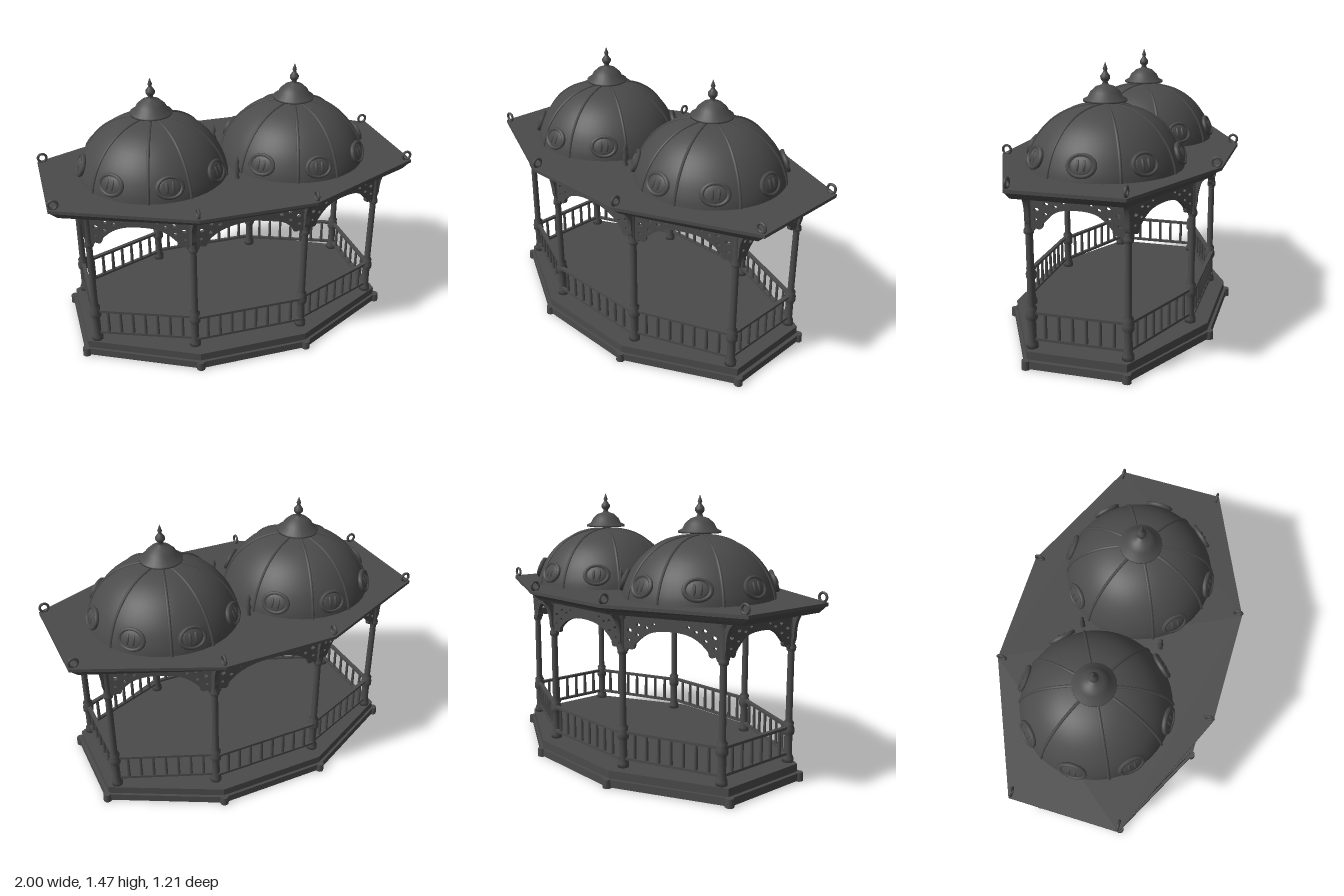
import * as THREE from 'three';

const iron = new THREE.MeshStandardMaterial({ color: 0x4b4b4b });
iron.name = 'dark iron';

const V2 = (x, y) => new THREE.Vector2(x, y);

function add(parent, name, geometry, x = 0, y = 0, z = 0) {
  const mesh = new THREE.Mesh(geometry, iron);
  mesh.name = name;
  mesh.position.set(x, y, z);
  parent.add(mesh);
  return mesh;
}

// Elongated octagon [x, z]: end corners (ax, az), side corners (bx, bz)
function octagon(ax, az, bx, bz) {
  return [[ax, az], [bx, bz], [-bx, bz], [-ax, az], [-ax, -az], [-bx, -bz], [bx, -bz], [ax, -az]];
}

// Flat slab from an outline
function slab(outline, height) {
  const shape = new THREE.Shape(outline.map(([x, z]) => V2(x, -z)));
  return new THREE.ExtrudeGeometry(shape, { depth: height, bevelEnabled: false }).rotateX(-Math.PI / 2);
}

// Faceted skin through a list of [outline, y] rings
function loft(rings) {
  const pos = [];
  for (let i = 0; i < rings.length - 1; i++) {
    const [lo, y0] = rings[i], [hi, y1] = rings[i + 1];
    for (let j = 0; j < lo.length; j++) {
      const k = (j + 1) % lo.length;
      const a = [lo[j][0], y0, lo[j][1]], b = [lo[k][0], y0, lo[k][1]];
      const c = [hi[k][0], y1, hi[k][1]], d = [hi[j][0], y1, hi[j][1]];
      pos.push(...a, ...d, ...b, ...b, ...d, ...c);
    }
  }
  const g = new THREE.BufferGeometry();
  g.setAttribute('position', new THREE.Float32BufferAttribute(pos, 3));
  g.computeVertexNormals();
  return g;
}

// Pierced arch panel hung between two columns
function archPanel(length) {
  const h = length / 2;
  const s = new THREE.Shape();
  s.moveTo(-h, 0.91);
  s.lineTo(-h, 0.69);
  s.quadraticCurveTo(-h + 0.03, 0.69, -h + 0.035, 0.72);
  s.quadraticCurveTo(-h + 0.075, 0.70, -h + 0.075, 0.74);
  s.bezierCurveTo(-h + 0.13, 0.80, -0.1, 0.82, 0, 0.82);
  s.bezierCurveTo(0.1, 0.82, h - 0.13, 0.80, h - 0.075, 0.74);
  s.quadraticCurveTo(h - 0.075, 0.70, h - 0.035, 0.72);
  s.quadraticCurveTo(h - 0.03, 0.69, h, 0.69);
  s.lineTo(h, 0.91);
  for (const side of [-1, 1]) {
    for (const [d, y, r] of [[0.04, 0.76, 0.007], [0.045, 0.81, 0.01], [0.09, 0.79, 0.008], [0.095, 0.84, 0.009], [0.14, 0.83, 0.008], [0.18, 0.85, 0.007]]) {
      const hole = new THREE.Path();
      hole.absellipse(side * (h - d), y, r * 1.3, r, 0, Math.PI * 2, true);
      s.holes.push(hole);
    }
  }
  const g = new THREE.ExtrudeGeometry(s, { depth: 0.02, bevelEnabled: false, curveSegments: 8 });
  return g.translate(0, 0, -0.01);
}

// Outward bracket under the eave
function bracketGeometry() {
  const s = new THREE.Shape();
  s.moveTo(0, 0.91);
  s.lineTo(0, 0.72);
  s.quadraticCurveTo(0.025, 0.73, 0.024, 0.77);
  s.quadraticCurveTo(0.025, 0.86, 0.07, 0.89);
  s.lineTo(0.07, 0.91);
  return new THREE.ExtrudeGeometry(s, { depth: 0.024, bevelEnabled: false }).translate(0, 0, -0.012);
}

// Dome with ribs, oval ornaments, cap and finial; inward is the ornament slot left bare
function createDome(inward) {
  const dome = new THREE.Group();
  dome.name = 'dome';
  const curve = new THREE.SplineCurve([V2(0.405, 0.945), V2(0.393, 1.0), V2(0.355, 1.085), V2(0.287, 1.168), V2(0.2, 1.226), V2(0.1, 1.256), V2(0, 1.264)]);
  const profile = curve.getPoints(20);
  add(dome, 'domeShell', new THREE.LatheGeometry(profile, 48));

  const rib = new THREE.CatmullRomCurve3(profile.map(p => new THREE.Vector3(p.x, p.y, 0)));
  const ribGeometry = new THREE.TubeGeometry(rib, 24, 0.008, 6);
  for (const a of [27, 74, 106, 153, 207, 254, 286, 333])
    add(dome, 'domeRib', ribGeometry).rotation.y = a * Math.PI / 180;

  for (let i = 0; i < 8; i++) {
    if (i === inward) continue;
    const pivot = new THREE.Group();
    pivot.name = 'domeOrnament';
    pivot.rotation.y = i * Math.PI / 4;
    dome.add(pivot);
    const face = new THREE.Group();
    face.name = 'ornamentFace';
    face.position.set(0, 1.03, 0.39);
    face.rotation.x = -0.36;
    pivot.add(face);
    add(face, 'ornamentRim', new THREE.TorusGeometry(0.052, 0.01, 6, 20)).scale.set(1.25, 1, 1.2);
    add(face, 'ornamentPlate', new THREE.SphereGeometry(0.05, 16, 8)).scale.set(1.2, 1, 0.25);
    for (const s of [-1, 1])
      add(face, 'ornamentLeaf', new THREE.SphereGeometry(0.02, 8, 6), s * 0.016, 0, 0.008).scale.set(0.5, 1.5, 0.5);
  }

  const cap = [[0.022, 1.255], [0.022, 1.285], [0.112, 1.277], [0.112, 1.287], [0.09, 1.298], [0.076, 1.325], [0.048, 1.35], [0.018, 1.36], [0.012, 1.372], [0.024, 1.388], [0.025, 1.402], [0.012, 1.42], [0.008, 1.428], [0.012, 1.437], [0.006, 1.455], [0, 1.472]];
  add(dome, 'capAndFinial', new THREE.LatheGeometry(cap.map(p => V2(...p)), 24));
  return dome;
}

export function createModel() {
  const model = new THREE.Group();
  model.name = 'pavilion';

  // Stepped base, recessed underneath, with rounded corner blocks
  const lower = octagon(0.888, 0.262, 0.308, 0.565);
  const recess = octagon(0.845, 0.25, 0.298, 0.53);
  const upper = octagon(0.868, 0.258, 0.304, 0.55);
  add(model, 'lowerStep', loft([[recess, 0.04], [recess, 0.004], [lower, 0.004], [lower, 0.045], [recess, 0.045]]));
  add(model, 'upperStep', slab(upper, 0.05), 0, 0.038, 0);
  for (const [x, z] of lower)
    add(model, 'stepCorner', new THREE.CylinderGeometry(0.022, 0.024, 0.046, 10), x * 0.99, 0.023, z * 0.99);

  // Columns with eave brackets
  const posts = octagon(0.812, 0.248, 0.308, 0.456);
  const columnProfile = [[0, 0.085], [0.03, 0.085], [0.03, 0.11], [0.022, 0.13], [0.021, 0.23], [0.03, 0.245], [0.031, 0.27], [0.025, 0.285], [0.028, 0.3], [0.018, 0.315], [0.017, 0.68], [0.025, 0.69], [0.025, 0.705], [0.019, 0.72], [0.019, 0.86], [0.028, 0.875], [0.028, 0.915]];
  const column = new THREE.LatheGeometry(columnProfile.map(p => V2(...p)), 16);
  const bracket = bracketGeometry();
  posts.forEach(([x, z]) => {
    add(model, 'column', column, x, 0, z);
    const onEnd = Math.abs(x) > 0.5;
    add(model, 'eaveBracket', bracket, x, 0, z).rotation.y = onEnd ? (x > 0 ? 0 : Math.PI) : (z > 0 ? -Math.PI / 2 : Math.PI / 2);
  });

  // Railing and arch panel on each of the eight bays
  const baluster = new THREE.CylinderGeometry(0.008, 0.01, 0.14, 6);
  posts.forEach(([x0, z0], i) => {
    const [x1, z1] = posts[(i + 1) % 8];
    const length = Math.hypot(x1 - x0, z1 - z0);
    const bay = new THREE.Group();
    bay.name = 'bay';
    bay.position.set((x0 + x1) / 2, 0, (z0 + z1) / 2);
    bay.rotation.y = -Math.atan2(z1 - z0, x1 - x0);
    model.add(bay);
    add(bay, 'archPanel', archPanel(length));
    const out = i % 4 === 1 ? -0.015 : 0; // long side rails sit slightly proud
    add(bay, 'topRail', new THREE.BoxGeometry(length, 0.014, 0.022), 0, 0.276, out);
    add(bay, 'bottomRail', new THREE.BoxGeometry(length, 0.014, 0.018), 0, 0.135, out);
    const n = Math.round(length / 0.068);
    for (let k = 1; k < n; k++)
      add(bay, 'baluster', baluster, (k / n - 0.5) * length, 0.205, out);
  });

  // Flat roof deck with a tapered cornice and a cross beam below it
  const eave = octagon(1.0, 0.29, 0.31, 0.6);
  add(model, 'roofDeck', slab(eave, 0.017), 0, 0.933, 0);
  const inner = octagon(0.79, 0.235, 0.295, 0.435);
  add(model, 'cornice', loft([
    [inner, 0.935], [inner, 0.898],
    [octagon(0.955, 0.278, 0.307, 0.55), 0.896],
    [octagon(0.97, 0.282, 0.308, 0.56), 0.91],
    [octagon(0.995, 0.289, 0.31, 0.597), 0.935],
  ]));
  add(model, 'ceilingBeam', new THREE.BoxGeometry(0.03, 0.035, 0.9), 0, 0.917, 0);

  // Ring at each eave corner
  const ring = new THREE.TorusGeometry(0.023, 0.007, 8, 18);
  for (const [x, z] of eave) {
    const onEnd = Math.abs(x) > 0.5;
    const px = onEnd ? x * 0.972 : x, pz = onEnd ? z * 0.97 : z * 0.955;
    add(model, 'eaveRing', ring, px, 0.975, pz).rotation.y = onEnd ? 0 : Math.PI / 2;
  }

  // Twin domes and small spindles in the valley between them
  const spindle = [[0.016, 0.945], [0.01, 0.97], [0.016, 0.995], [0.007, 1.02], [0.012, 1.045], [0, 1.08]];
  for (const s of [-1, 1]) {
    const dome = createDome(s > 0 ? 6 : 2);
    dome.position.set(s * 0.4, 0, -0.015);
    model.add(dome);
    add(model, 'valleySpindle', new THREE.LatheGeometry(spindle.map(p => V2(...p)), 10), 0, 0, s * 0.22);
  }
  return model;
}
